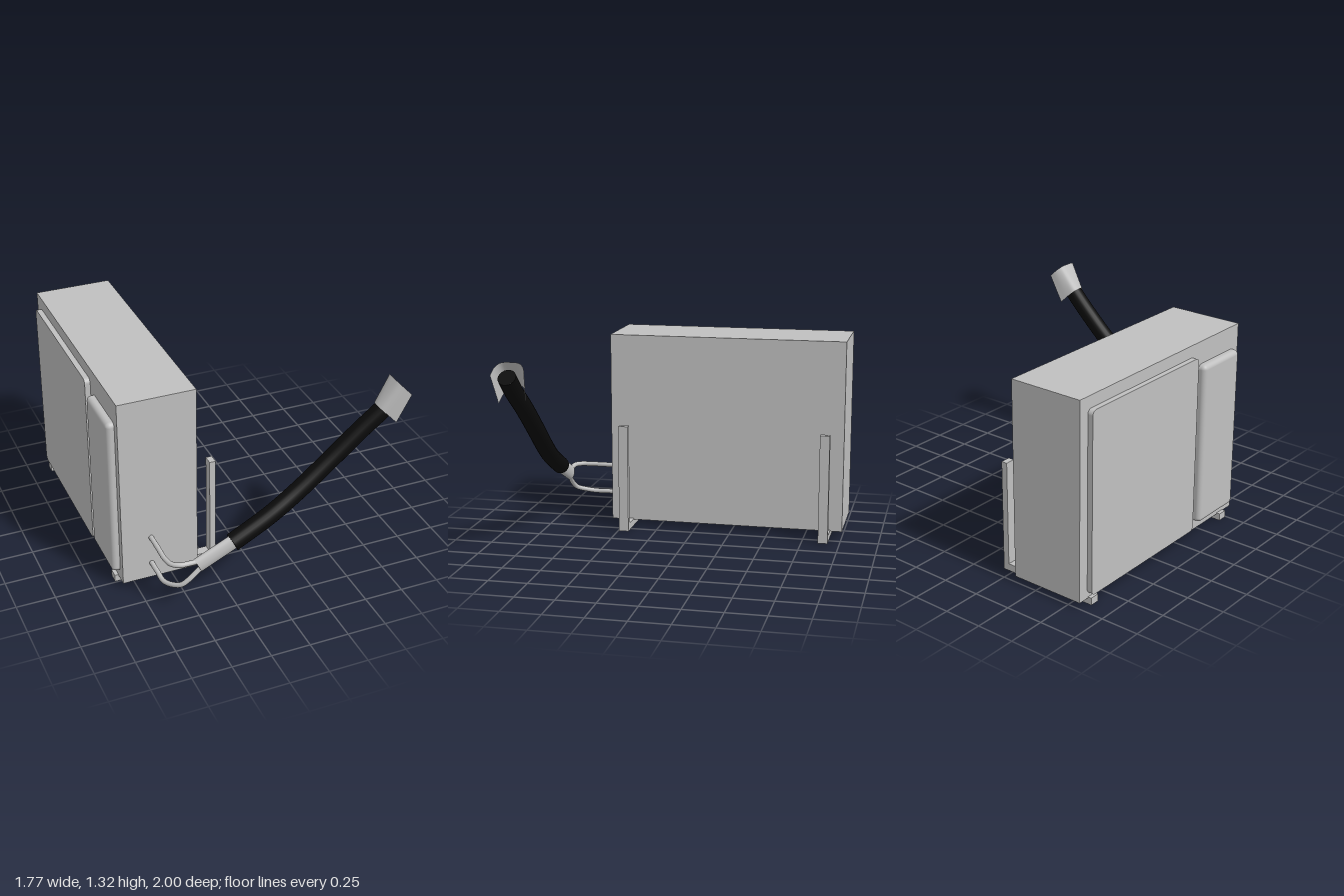
import * as THREE from 'three';
import { RoundedBoxGeometry } from 'three/addons/geometries/RoundedBoxGeometry.js';

const V = (x, y, z) => new THREE.Vector3(x, y, z);

export function createModel() {
  const group = new THREE.Group();
  const grey = new THREE.MeshStandardMaterial({ color: 0xc0c0c0 });
  grey.name = 'grey metal';
  const black = new THREE.MeshStandardMaterial({ color: 0x0a0a0a });
  black.name = 'black insulation';
  const wrap = new THREE.MeshStandardMaterial({ color: 0xc0c0c0, side: THREE.DoubleSide });
  wrap.name = 'grey tape';

  const add = (name, geometry, material = grey) => {
    const mesh = new THREE.Mesh(geometry, material);
    mesh.name = name;
    group.add(mesh);
    return mesh;
  };
  // Box given by its limits on each axis
  const box = (name, x0, x1, y0, y1, z0, z1) =>
    add(name, new THREE.BoxGeometry(x1 - x0, y1 - y0, z1 - z0))
      .position.set((x0 + x1) / 2, (y0 + y1) / 2, (z0 + z1) / 2);

  // Cabinet
  box('cabinet', -0.835, -0.34, 0.04, 1.318, -1, 0.58);

  // L-shaped wall brackets
  for (const z of [0.46, -0.89]) {
    box('bracketArm', -0.86, -0.22, 0, 0.047, z - 0.032, z + 0.032);
    box('bracketUpright', -0.22, -0.18, 0, 0.725, z - 0.032, z + 0.032);
  }

  // Large raised panel with rounded corners, on the -x face
  const z0 = -0.93, z1 = 0.1, y0 = 0.07, y1 = 1.24, r = 0.03;
  const outline = new THREE.Shape();
  outline.absarc(z1 - r, y1 - r, r, 0, Math.PI / 2);
  outline.absarc(z0 + r, y1 - r, r, Math.PI / 2, Math.PI);
  outline.absarc(z0 + r, y0 + r, r, Math.PI, Math.PI * 1.5);
  outline.absarc(z1 - r, y0 + r, r, Math.PI * 1.5, Math.PI * 2);
  const panel = add('grillePanel',
    new THREE.ExtrudeGeometry(outline, { depth: 0.036, bevelEnabled: false, curveSegments: 6 }));
  panel.rotation.y = -Math.PI / 2;
  panel.position.x = -0.834;

  // Narrow service cover with soft edges
  add('serviceCover', new RoundedBoxGeometry(0.09, 1.07, 0.38, 4, 0.03))
    .position.set(-0.84, 0.635, 0.34);

  // Tube along a curve, closed at both ends
  const closedTube = (name, points, radius, material, segments) => {
    const curve = new THREE.CatmullRomCurve3(points);
    add(name, new THREE.TubeGeometry(curve, segments, radius, 20), material);
    for (const t of [0, 1]) {
      const cap = add(name + 'End', new THREE.CircleGeometry(radius, 20), material);
      cap.position.copy(curve.getPoint(t));
      const dir = curve.getTangent(t).multiplyScalar(t ? 1 : -1);
      cap.quaternion.setFromUnitVectors(V(0, 0, 1), dir);
    }
  };

  // Two refrigerant pipes leaving the cabinet
  closedTube('upperPipe', [
    V(-0.645, 0.34, 0.56), V(-0.645, 0.34, 0.7), V(-0.645, 0.34, 0.82), V(-0.63, 0.342, 0.88),
    V(-0.59, 0.344, 0.913), V(-0.53, 0.343, 0.918), V(-0.45, 0.343, 0.918),
  ], 0.016, grey, 40);
  closedTube('lowerPipe', [
    V(-0.645, 0.147, 0.56), V(-0.645, 0.147, 0.68), V(-0.643, 0.147, 0.78), V(-0.615, 0.162, 0.85),
    V(-0.575, 0.185, 0.9), V(-0.53, 0.225, 0.917), V(-0.44, 0.305, 0.918),
  ], 0.016, grey, 40);

  // Flattened sleeve joining both pipes
  const from = V(-0.475, 0.313, 0.918), to = V(-0.24, 0.425, 0.918);
  const sleeve = add('pipeSleeve', new THREE.CylinderGeometry(0.052, 0.052, from.distanceTo(to), 28));
  sleeve.scale.z = 0.55;
  sleeve.position.copy(from).add(to).multiplyScalar(0.5);
  sleeve.rotation.z = Math.atan2(to.y - from.y, to.x - from.x) - Math.PI / 2;

  // Black insulated hose
  closedTube('insulatedHose', [
    V(-0.25, 0.42, 0.918), V(0, 0.545, 0.905), V(0.2, 0.665, 0.885), V(0.4, 0.815, 0.873),
    V(0.6, 0.99, 0.878), V(0.75, 1.125, 0.892), V(0.845, 1.222, 0.897),
  ], 0.057, black, 60);

  // Flared tape flap over the hose end: section points are [up, sideways]
  const low = [[-0.077, -0.085], [0, -0.066], [0.045, -0.045], [0.06, 0], [0.045, 0.045], [0, 0.066], [-0.077, 0.085]];
  const high = [[0, -0.105], [0.055, -0.093], [0.093, -0.06], [0.1, 0], [0.093, 0.06], [0.055, 0.093], [0, 0.105]];
  const along = V(0.72, 0.694, 0), up = V(-0.694, 0.72, 0), base = V(0.73, 1.105, 0.89);
  const spline = (pts) => new THREE.CatmullRomCurve3(pts.map(([n, s]) => V(n, s, 0)));
  const a = spline(low), b = spline(high), nu = 24, nv = 6;
  const flap = new THREE.PlaneGeometry(1, 1, nu, nv);
  const pos = flap.attributes.position;
  for (let j = 0; j <= nv; j++) {
    for (let i = 0; i <= nu; i++) {
      const v = j / nv;
      const p = a.getPoint(i / nu).lerp(b.getPoint(i / nu), v);
      const q = base.clone().addScaledVector(along, 0.186 * v).addScaledVector(up, p.x);
      pos.setXYZ(j * (nu + 1) + i, q.x, q.y, q.z + p.y);
    }
  }
  // Turn the faces so that their fronts point outwards
  const index = flap.index;
  const mid = (nv / 2) * (nu + 1) + nu / 2;
  flap.computeVertexNormals();
  if (V().fromBufferAttribute(flap.attributes.normal, mid).dot(up) < 0) {
    for (let k = 0; k < index.count; k += 3) {
      const t = index.getX(k);
      index.setX(k, index.getX(k + 1));
      index.setX(k + 1, t);
    }
    flap.computeVertexNormals();
  }
  add('tapeFlap', flap, wrap);

  return group;
}
